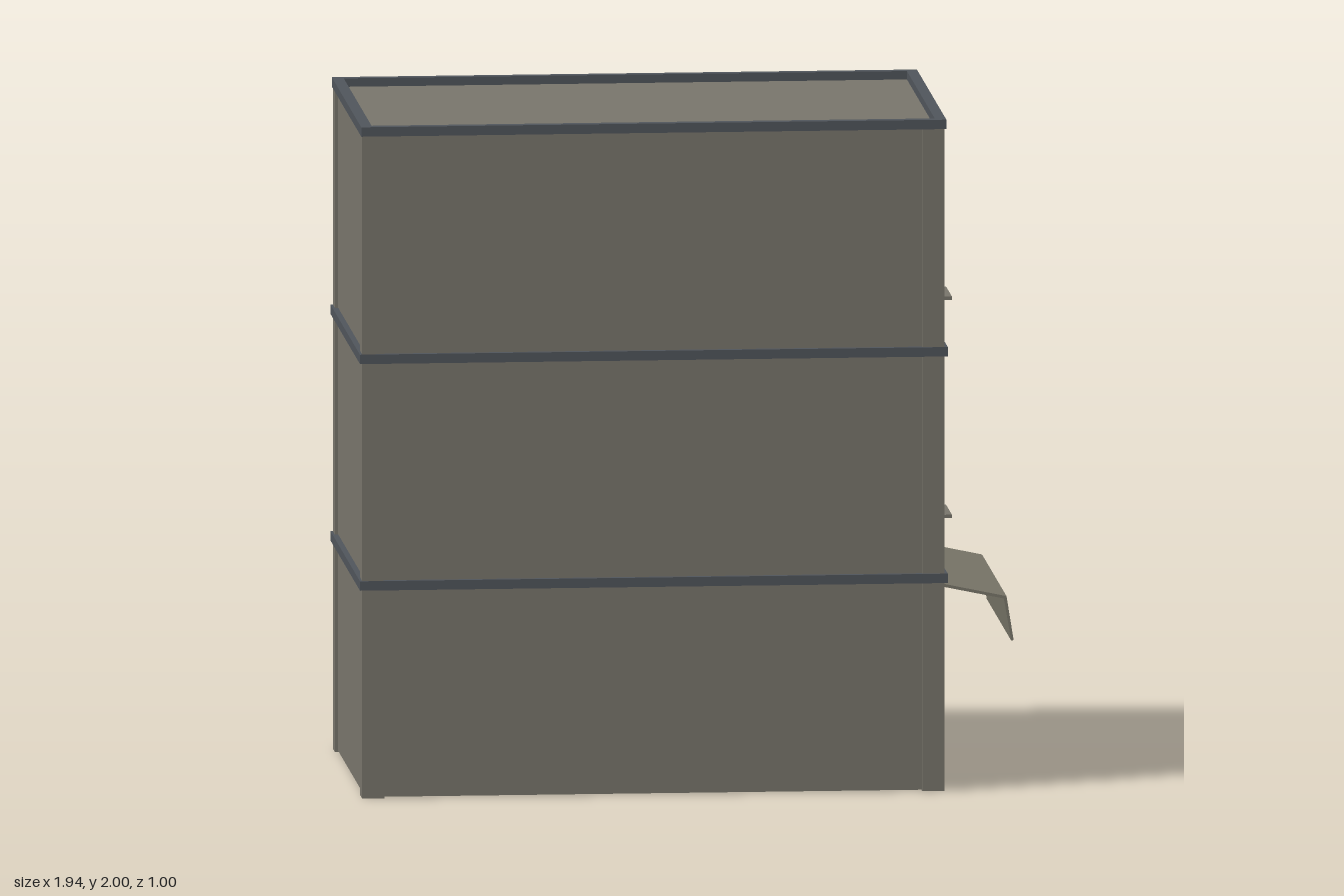
import * as THREE from 'three';

const mat = (name, color) => {
  const m = new THREE.MeshStandardMaterial({ color });
  m.name = name;
  return m;
};

export function createModel() {
  const wall = mat('wall stone', 0x78756b);
  const trim = mat('slate trim', 0x50555b);
  const glass = mat('blue glass', 0x3f6079);
  const frame = mat('frame grey', 0x97959a);
  const cloth = mat('awning cloth', 0x7a776a);

  const root = new THREE.Group();
  root.name = 'building';

  // Box given by its minimum and maximum on each axis
  const box = (parent, name, material, x0, x1, y0, y1, z0, z1) => {
    const mesh = new THREE.Mesh(new THREE.BoxGeometry(x1 - x0, y1 - y0, z1 - z0), material);
    mesh.position.set((x0 + x1) / 2, (y0 + y1) / 2, (z0 + z1) / 2);
    mesh.name = name;
    parent.add(mesh);
    return mesh;
  };
  const group = (name) => {
    const g = new THREE.Group();
    g.name = name;
    root.add(g);
    return g;
  };

  const FACE = 0.747; // street wall plane
  const L = -0.965, R = 0.757, D = 0.493; // outer faces of the corner pilasters

  // Main block, with its top as the sunken roof
  box(root, 'mainWalls', wall, L + 0.01, FACE, 0.003, 1.975, -D + 0.01, D - 0.01);

  // Corner pilasters
  for (const x of [L, R - 0.066])
    for (const z of [-D, D - 0.066])
      box(root, 'cornerPilaster', wall, x, x + 0.066, 0, 1.975, z, z + 0.066);

  // Belt courses between the storeys
  for (const y of [0.62, 1.295])
    box(root, 'beltCourse', trim, L - 0.007, R + 0.009, y, y + 0.028, -0.499, 0.499);

  // Parapet ring round the roof
  const ring = new THREE.Shape();
  const rect = (path, x0, x1, z) =>
    path.moveTo(x0, -z).lineTo(x1, -z).lineTo(x1, z).lineTo(x0, z).closePath();
  rect(ring, L - 0.003, R + 0.005, 0.497);
  const inner = new THREE.Path();
  rect(inner, -0.935, 0.73, 0.468);
  ring.holes.push(inner);
  const parapet = new THREE.Mesh(
    new THREE.ExtrudeGeometry(ring, { depth: 0.028, bevelEnabled: false }).rotateX(-Math.PI / 2),
    trim
  );
  parapet.position.y = 1.972;
  parapet.name = 'parapet';
  root.add(parapet);

  // Glazed opening: pane, border and evenly spaced bars
  const glazing = (g, z0, z1, y0, y1, b, out, cols, rows, bar) => {
    box(g, 'pane', glass, FACE - 0.004, FACE + 0.002, y0, y1, z0, z1);
    const x0 = FACE - 0.004;
    box(g, 'frameBottom', frame, x0, out, y0, y0 + b, z0, z1);
    box(g, 'frameTop', frame, x0, out, y1 - b, y1, z0, z1);
    box(g, 'frameSide', frame, x0, out, y0 + b, y1 - b, z0, z0 + b);
    box(g, 'frameSide', frame, x0, out, y0 + b, y1 - b, z1 - b, z1);
    for (let i = 1; i < cols; i++) {
      const z = z0 + ((z1 - z0) * i) / cols;
      box(g, 'uprightBar', frame, x0, out - 0.001, y0 + b, y1 - b, z - bar / 2, z + bar / 2);
    }
    for (let i = 1; i < rows; i++) {
      const y = y0 + ((y1 - y0) * i) / rows;
      box(g, 'crossBar', frame, x0, out - 0.002, y - bar / 2, y + bar / 2, z0 + b, z1 - b);
    }
  };

  // Upper windows with sills
  for (const y of [0.81, 1.46])
    for (const z of [-0.31, 0, 0.31]) {
      const g = group('upperWindow');
      glazing(g, z - 0.09, z + 0.09, y, y + 0.345, 0.007, 0.763, 2, 4, 0.009);
      box(g, 'sill', wall, FACE - 0.004, 0.786, y - 0.01, y, z - 0.1, z + 0.1);
    }

  // Shop windows
  for (const z of [-0.295, 0.295])
    glazing(group('shopWindow'), z - 0.083, z + 0.083, 0.212, 0.405, 0.009, 0.763, 1, 1, 0);

  // Double door
  glazing(group('door'), -0.12, 0.112, 0.008, 0.405, 0.014, 0.779, 2, 1, 0.012);

  // Awning: thin folded sheet with open ends
  const fold = new THREE.Shape();
  fold.moveTo(FACE, 0.608).lineTo(0.947, 0.566).lineTo(0.968, 0.435).lineTo(0.961, 0.433);
  fold.lineTo(0.939, 0.559).lineTo(FACE, 0.599).closePath();
  const awning = new THREE.Mesh(
    new THREE.ExtrudeGeometry(fold, { depth: 0.825, bevelEnabled: false }),
    cloth
  );
  awning.position.z = -0.41;
  awning.name = 'awning';
  root.add(awning);

  return root;
}
